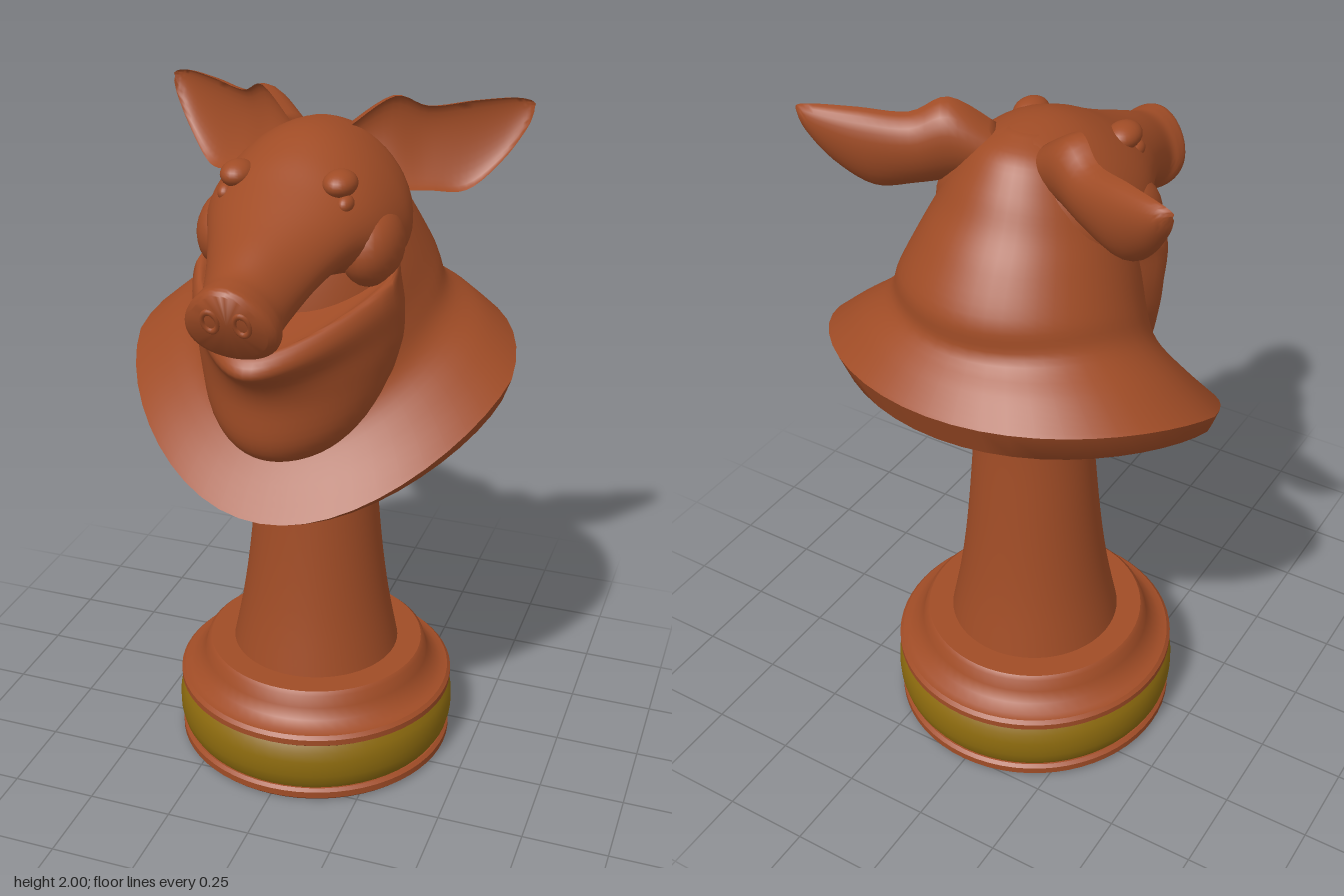
import * as THREE from 'three';
import { toCreasedNormals } from 'three/addons/utils/BufferGeometryUtils.js';

const SEG = 48;

// Catmull-Rom resampling of rows of numbers
function smooth(rows, n = 5) {
  const out = [];
  const at = (i) => rows[Math.max(0, Math.min(rows.length - 1, i))];
  for (let i = 0; i < rows.length - 1; i++) {
    for (let k = 0; k < n; k++) {
      const t = k / n;
      out.push(rows[i].map((b, c) => {
        const a = at(i - 1)[c], d = at(i + 1)[c], e = at(i + 2)[c];
        return 0.5 * (2 * b + (d - a) * t + (2 * a - 5 * b + 4 * d - e) * t * t
          + (3 * b - a - 3 * d + e) * t * t * t);
      }));
    }
  }
  out.push(rows[rows.length - 1]);
  return out;
}

// Skin over closed rings, with optional caps at the start and end
function loft(rings, { start = true, end = true, flip = false, crease = 1 } = {}) {
  const n = rings[0].length, pos = rings.flat(2), index = [];
  const tri = (a, b, c) => (flip ? index.push(a, c, b) : index.push(a, b, c));
  for (let i = 0; i < rings.length - 1; i++) {
    for (let j = 0; j < n; j++) {
      const a = i * n + j, b = i * n + (j + 1) % n;
      tri(a, b, a + n);
      tri(b, b + n, a + n);
    }
  }
  const cap = (i, last) => {
    const c = [0, 1, 2].map((k) => rings[i].reduce((s, p) => s + p[k], 0) / n);
    const m = pos.length / 3;
    pos.push(...c);
    for (let j = 0; j < n; j++) {
      const a = i * n + j, b = i * n + (j + 1) % n;
      if (last) tri(a, b, m); else tri(b, a, m);
    }
  };
  if (start) cap(0, false);
  if (end) cap(rings.length - 1, true);
  const g = new THREE.BufferGeometry();
  g.setAttribute('position', new THREE.Float32BufferAttribute(pos, 3));
  g.setIndex(index);
  return toCreasedNormals(g, crease);
}

// Tilted oval: front z,y; back z,y; half width; side lift; front taper
function oval([zf, yf, zb, yb, w, lift = 0, taper = 0]) {
  return Array.from({ length: SEG }, (_, j) => {
    const a = (j / SEG) * Math.PI * 2, s = Math.sin(a), c = Math.cos(a), t = (1 - c) / 2;
    return [w * s * (1 - taper * Math.max(0, c)), yf + (yb - yf) * t + lift * s * s, zf + (zb - zf) * t];
  });
}

// Upright slice of the head: z, top, bottom, half width, shear, narrowing towards the top
function slice([z, top, bot, w, shear, narrow]) {
  const h = (top - bot) / 2, m = (top + bot) / 2;
  return Array.from({ length: SEG }, (_, j) => {
    const a = (j / SEG) * Math.PI * 2, s = Math.sin(a);
    return [w * Math.cos(a) * (1 - narrow * s), m + h * s, z + shear * h * s];
  });
}

// Cupped ear: top edge xyz, bottom edge xyz, depth of the cup
function earRing([tx, ty, tz, bx, by, bz, d], side) {
  return Array.from({ length: 28 }, (_, j) => {
    const a = (j / 28) * Math.PI * 2, c = (1 - Math.cos(a)) / 2, s = Math.sin(a);
    const o = s > 0 ? d * s : -0.42 * d * s;
    return [side * (tx + (bx - tx) * c - 0.5 * o), ty + (by - ty) * c, tz + (bz - tz) * c - 0.85 * o];
  });
}

export function createModel() {
  const clay = new THREE.MeshStandardMaterial({ color: 0xa04c26 });
  clay.name = 'terracotta';
  const gold = new THREE.MeshStandardMaterial({ color: 0x8c6a0e });
  gold.name = 'dark gold';
  const model = new THREE.Group();
  model.name = 'pigChessPiece';

  const add = (name, geometry, material = clay) => {
    const m = new THREE.Mesh(geometry, material);
    m.name = name;
    model.add(m);
    return m;
  };
  const lathe = (name, pts, material) => {
    const g = new THREE.LatheGeometry(pts.map((p) => new THREE.Vector2(...p)), 64);
    add(name, toCreasedNormals(g, 0.6), material).position.z = -0.1;
  };
  const blob = (name, p, s) => {
    const m = add(name, new THREE.SphereGeometry(1, 24, 16));
    m.position.set(...p);
    m.scale.set(...s);
    return m;
  };

  // Turned base and stem
  lathe('foot', [[0, 0], [0.41, 0], [0.42, 0.01], [0.42, 0.03], [0.41, 0.038], [0, 0.038]]);
  lathe('goldBand', [[0, 0.038], [0.405, 0.038], [0.418, 0.06], [0.425, 0.09], [0.426, 0.115], [0.425, 0.14],
    [0.418, 0.17], [0.405, 0.192], [0, 0.192]], gold);
  lathe('baseMoulding', [[0, 0.192], [0.41, 0.192], [0.42, 0.2], [0.42, 0.218], [0.41, 0.228], [0.39, 0.231],
    [0.365, 0.25], [0.345, 0.28], [0.336, 0.315], [0.325, 0.325], [0, 0.325]]);
  lathe('stem', smooth([[0.252, 0.325], [0.222, 0.48], [0.2, 0.64], [0.182, 0.83], [0.168, 1.03], [0.165, 1.25]], 4));

  // Flared collar: underside and rim
  add('collar', loft([
    [0.1, 1.02, -0.35, 1.175, 0.25, 0, 0.1],
    [0.2, 0.985, -0.45, 1.215, 0.37, 0.02, 0.12],
    [0.29, 0.955, -0.52, 1.24, 0.47, 0.055, 0.14],
    [0.35, 0.945, -0.57, 1.262, 0.54, 0.09, 0.15],
    [0.372, 0.955, -0.612, 1.36, 0.562, 0.1, 0.15],
  ].map(oval), { end: false, crease: 0.7 }));

  // Neck sweeping from the rim up to the crown
  add('neck', loft(smooth([
    [0.372, 0.955, -0.612, 1.36, 0.562, 0.1, 0.15],
    [0.28, 1.06, -0.55, 1.425, 0.465, 0.1, 0.12],
    [0.22, 1.16, -0.485, 1.485, 0.365, 0.1, 0.1],
    [0.2, 1.3, -0.475, 1.57, 0.325, 0.08, 0.05],
    [0.2, 1.45, -0.41, 1.68, 0.285, 0.05, 0],
    [0.18, 1.6, -0.35, 1.76, 0.25, 0.02, 0],
    [0.14, 1.72, -0.3, 1.84, 0.21, 0, 0],
    [0.08, 1.84, -0.24, 1.91, 0.15, 0, 0],
    [0.0, 1.92, -0.16, 1.94, 0.06, 0, 0],
  ]).map(oval), { start: false }));

  // Skull and snout
  add('headAndSnout', loft(smooth([
    [-0.27, 1.86, 1.65, 0.12, 0, 0.15],
    [-0.2, 1.925, 1.56, 0.225, 0, 0.18],
    [-0.1, 1.945, 1.5, 0.265, 0, 0.2],
    [0.0, 1.94, 1.5, 0.265, 0, 0.2],
    [0.1, 1.905, 1.56, 0.24, 0, 0.18],
    [0.2, 1.85, 1.595, 0.2, 0.05, 0.12],
    [0.3, 1.8, 1.575, 0.16, 0.12, 0.1],
    [0.4, 1.755, 1.535, 0.127, 0.2, 0.12],
    [0.475, 1.718, 1.508, 0.11, 0.3, 0.15],
    [0.515, 1.71, 1.49, 0.118, 0.36, 0.18],
    [0.55, 1.705, 1.492, 0.118, 0.4, 0.2],
    [0.57, 1.69, 1.51, 0.1, 0.4, 0.2],
  ]).map(slice)));

  // Lower jaw and throat, with the mouth hollow on top
  add('jaw', loft(smooth([
    [0.22, 1.095, 0.0, 1.12, 0.06, 0, 0],
    [0.31, 1.115, -0.1, 1.15, 0.16, 0, 0.05],
    [0.355, 1.18, -0.2, 1.25, 0.24, 0.01, 0.1],
    [0.368, 1.3, -0.25, 1.42, 0.285, 0.01, 0.2],
    [0.405, 1.37, -0.25, 1.55, 0.293, 0, 0.32],
    [0.475, 1.425, -0.25, 1.65, 0.285, 0, 0.42],
    [0.435, 1.475, -0.25, 1.7, 0.27, 0, 0.4],
    [0.39, 1.46, -0.2, 1.66, 0.22, 0, 0.4],
    [0.2, 1.5, -0.1, 1.58, 0.1, 0, 0.2],
  ]).map(oval)));

  // Paired features
  const ear = smooth([
    [0.09, 1.93, -0.12, 0.15, 1.78, -0.1, 0.11],
    [0.19, 2.0, -0.18, 0.21, 1.76, -0.13, 0.11],
    [0.27, 1.965, -0.24, 0.29, 1.748, -0.19, 0.09],
    [0.38, 1.975, -0.3, 0.38, 1.742, -0.25, 0.075],
    [0.47, 1.98, -0.345, 0.46, 1.815, -0.31, 0.05],
    [0.515, 1.975, -0.36, 0.515, 1.9, -0.345, 0.03],
    [0.532, 1.965, -0.36, 0.53, 1.945, -0.355, 0.008],
  ]);
  for (const [side, word] of [[1, 'left'], [-1, 'right']]) {
    add(word + 'Ear', loft(ear.map((r) => earRing(r, side)), { flip: side > 0, crease: 1.3 }));
    blob(word + 'Eye', [side * 0.163, 1.8, 0.155], [0.022, 0.024, 0.034]);
    blob(word + 'Brow', [side * 0.14, 1.845, 0.13], [0.045, 0.035, 0.06]);
    blob(word + 'Cheek', [side * 0.2, 1.66, 0.04], [0.085, 0.11, 0.13]);
    const nostril = add(word + 'Nostril', new THREE.TorusGeometry(0.022, 0.007, 10, 24));
    nostril.position.set(side * 0.042, 1.61, 0.573);
    nostril.rotation.x = 0.38;
    nostril.scale.set(0.9, 1.4, 1);
  }
  return model;
}
